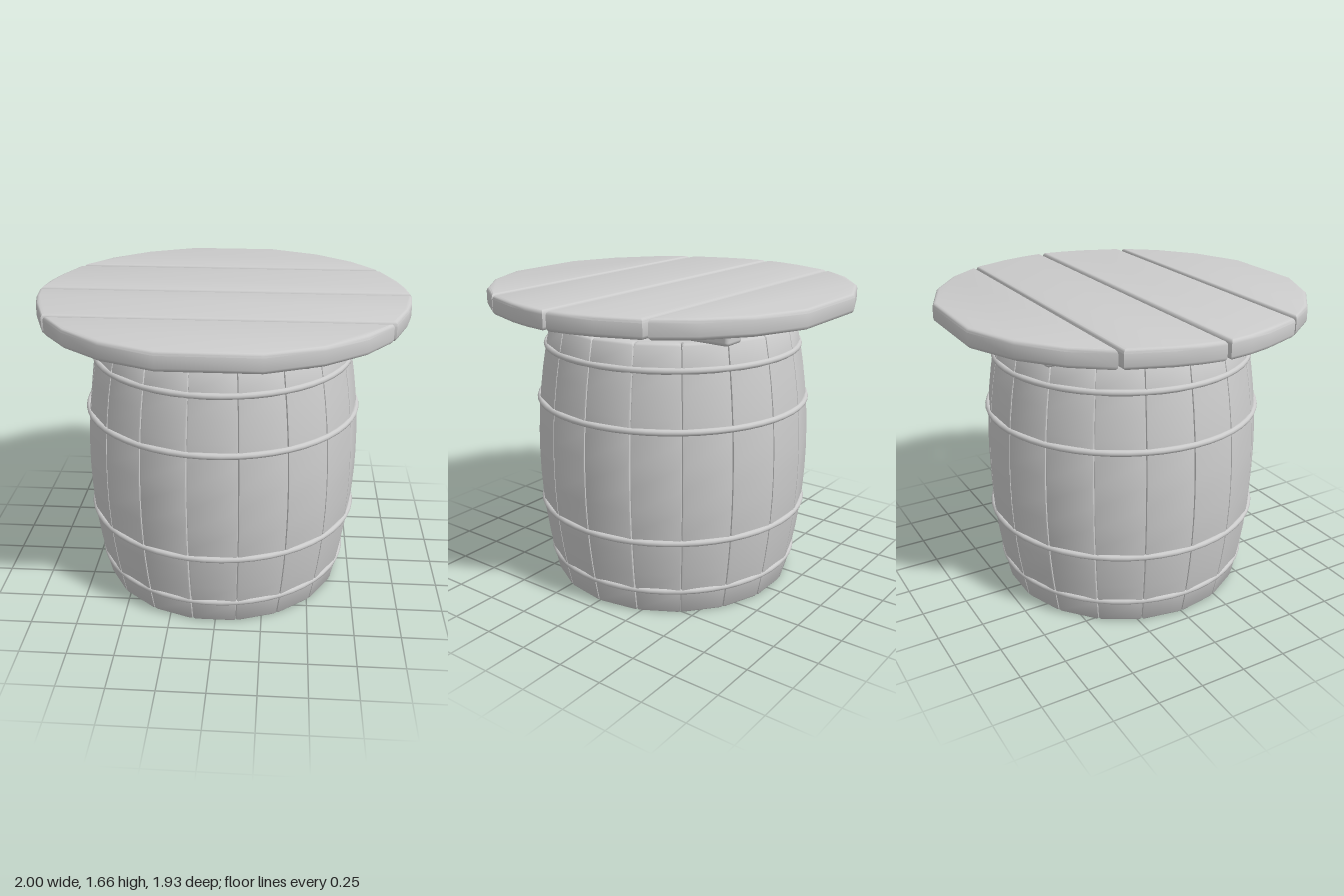
import * as THREE from 'three';
import { toCreasedNormals } from 'three/addons/utils/BufferGeometryUtils.js';
import { RoundedBoxGeometry } from 'three/addons/geometries/RoundedBoxGeometry.js';

const HEIGHT = 1.47, STAVES = 18, HALF = Math.PI / STAVES;

// Bulging barrel profile: corner radius at height y
function barrelRadius(y) {
  const u = (y - HEIGHT / 2) / (HEIGHT / 2);
  return 0.765 - 0.086 * u * u;
}

// One stave, facing +z: bevelled cross-sections lofted up the barrel profile
function staveGeometry() {
  const bevel = 0.01, thickness = 0.06, round = 0.013;
  const rows = [[0, round], [0.004, 0.004], [round, 0]];
  for (let i = 1; i < 12; i++) rows.push([HEIGHT * i / 12, 0]);
  rows.push([HEIGHT - round, 0], [HEIGHT - 0.004, 0.004], [HEIGHT, round]);

  const positions = [], index = [], n = 8, tan = Math.tan(HALF);
  for (const [y, inset] of rows) {
    const face = barrelRadius(y) * Math.cos(HALF) - inset;
    const back = face - thickness + 2 * inset;
    const side = (r) => r * tan - inset - 0.001;
    const half = [
      [side(face) - bevel, face],
      [side(face) - bevel * 0.3, face - bevel * 0.3],
      [side(face - bevel), face - bevel],
      [side(back), back],
    ];
    const ring = [...half.map(([x, z]) => [-x, z]).reverse(), ...half];
    for (const [x, z] of ring) positions.push(x, y, z);
  }
  for (let i = 0; i < rows.length - 1; i++) {
    for (let j = 0; j < n; j++) {
      const a = i * n + j, b = i * n + (j + 1) % n;
      index.push(a, b, b + n, a, b + n, a + n);
    }
  }
  const top = (rows.length - 1) * n;
  for (let j = 1; j < n - 1; j++) {
    index.push(0, j + 1, j, top, top + j, top + j + 1);
  }
  const geometry = new THREE.BufferGeometry();
  geometry.setAttribute('position', new THREE.Float32BufferAttribute(positions, 3));
  geometry.setIndex(index);
  return toCreasedNormals(geometry, 0.9);
}

// Tabletop board from an outline of [x, z] on its right half, with rounded edges
function boardGeometry(half) {
  const outline = [...half, ...half.map(([x, z]) => [-x, z]).reverse()];
  const shape = new THREE.Shape(outline.map(([x, z]) => new THREE.Vector2(x, z)));
  const geometry = new THREE.ExtrudeGeometry(shape, {
    depth: 0.06, bevelThickness: 0.02, bevelSize: 0.02, bevelOffset: -0.02, bevelSegments: 3,
  });
  geometry.rotateX(Math.PI / 2);
  return toCreasedNormals(geometry, 0.7);
}

export function createModel() {
  const model = new THREE.Group();
  model.name = 'barrelTable';
  const grey = new THREE.MeshStandardMaterial({ color: 0xcccccc });
  grey.name = 'grey';

  const add = (parent, name, geometry, x = 0, y = 0, z = 0) => {
    const mesh = new THREE.Mesh(geometry, grey);
    mesh.name = name;
    mesh.position.set(x, y, z);
    parent.add(mesh);
    return mesh;
  };

  // Barrel body
  const barrel = new THREE.Group();
  barrel.name = 'barrel';
  barrel.position.x = -0.005;
  model.add(barrel);
  const stave = staveGeometry();
  for (let i = 0; i < STAVES; i++) add(barrel, 'stave', stave).rotation.y = i * 2 * HALF;

  // Recessed barrel ends
  const head = new THREE.CylinderGeometry(0.635, 0.635, 0.04, 36);
  add(barrel, 'bottomHead', head, 0, 0.065);
  add(barrel, 'topHead', head, 0, HEIGHT - 0.065);

  // Hoops
  for (const [y, radius] of [[0.14, 0.697], [0.44, 0.744], [1.04, 0.744], [1.34, 0.697]]) {
    const hoop = new THREE.TorusGeometry(radius, 0.017, 10, 54);
    hoop.rotateX(Math.PI / 2);
    add(barrel, 'hoop', hoop, 0, y);
  }

  // Beams carrying the tabletop
  for (const x of [-0.402, 0.398]) {
    add(model, 'beam', new RoundedBoxGeometry(0.13, 0.085, 1.335, 3, 0.02), x, 1.5175, 0);
  }

  // Tabletop boards: two outer and two inner, paired by a half turn
  const tabletop = new THREE.Group();
  tabletop.name = 'tabletop';
  model.add(tabletop);
  const outer = boardGeometry([[0.245, -0.967], [0.52, -0.85], [0.725, -0.685], [0.86, -0.5]]);
  const inner = boardGeometry([[0.875, -0.48], [0.955, -0.265], [0.985, -0.14], [1, -0.011]]);
  for (const turn of [0, Math.PI]) {
    add(tabletop, 'outerBoard', outer, 0, 1.64, -0.002).rotation.y = turn;
    add(tabletop, 'innerBoard', inner, 0, 1.64, -0.002).rotation.y = turn;
  }
  return model;
}
